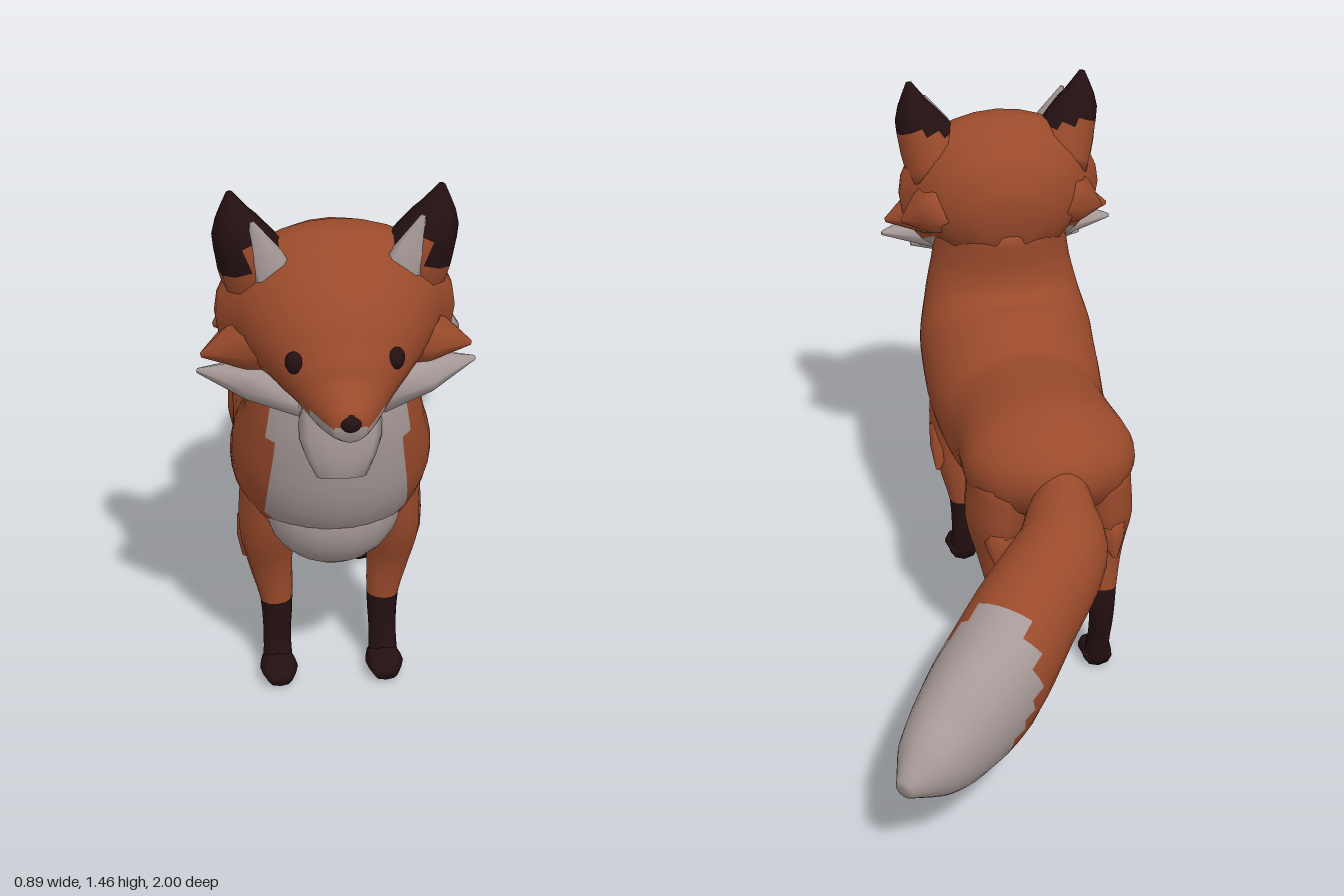
import * as THREE from 'three';

const material = (name, color) => Object.assign(new THREE.MeshStandardMaterial({ color }), { name });
const rust = material('rust fur', 0x9a4a2b);
const cream = material('pale fur', 0xa69997);
const dark = material('dark fur', 0x241012);
const FUR = [rust, cream, dark];
const MID = -0.11; // the body sits right of the curled tail

// Skin over sections [x, y, z, halfWidth, halfDepth]; paint picks a FUR index per face.
function loft(name, sections, { sides = 16, steps = 2, paint = () => 0 } = {}) {
  const path = new THREE.CatmullRomCurve3(sections.map(s => new THREE.Vector3(s[0], s[1], s[2])));
  const size = new THREE.CatmullRomCurve3(sections.map(s => new THREE.Vector3(s[3], s[4], 0)));
  const n = (sections.length - 1) * steps;
  const run = path.getPoint(1).sub(path.getPoint(0)).normalize();
  const ref = Math.abs(run.x) > 0.75 ? new THREE.Vector3(0, 0, 1) : new THREE.Vector3(1, 0, 0);
  const pts = [];
  for (let k = -1; k <= n + 1; k++) {
    const t = Math.min(Math.max(k / n, 0), 1);
    const p = path.getPoint(t), r = size.getPoint(t), tan = path.getTangent(t);
    if (k < 0 || k > n) r.set(0, 0, 0); // closed ends
    const side = ref.clone().addScaledVector(tan, -ref.dot(tan)).normalize();
    const up = new THREE.Vector3().crossVectors(tan, side);
    for (let j = 0; j < sides; j++) {
      const a = (j / sides) * Math.PI * 2;
      pts.push(p.clone().addScaledVector(side, r.x * Math.cos(a)).addScaledVector(up, r.y * Math.sin(a)));
    }
  }
  const faces = [[], [], []];
  for (let i = 0; i < n + 2; i++) {
    for (let j = 0; j < sides; j++) {
      const a = i * sides + j, b = i * sides + (j + 1) % sides, c = b + sides, d = a + sides;
      const mid = pts[a].clone().add(pts[b]).add(pts[c]).add(pts[d]).multiplyScalar(0.25);
      const list = faces[paint(mid)];
      if (i > 0) list.push(a, b, c);
      else list.push(b, c, d);
      if (i > 0 && i < n + 1) list.push(a, c, d);
    }
  }
  const geo = new THREE.BufferGeometry();
  geo.setAttribute('position', new THREE.Float32BufferAttribute(pts.flatMap(p => p.toArray()), 3));
  geo.setIndex(faces.flat());
  let start = 0;
  faces.forEach((f, m) => {
    if (f.length) geo.addGroup(start, f.length, m);
    start += f.length;
  });
  geo.computeVertexNormals();
  const mesh = new THREE.Mesh(geo, FUR);
  mesh.name = name;
  return mesh;
}

// Flattened pointed lock of fur
function tuft(name, root, tip, width, depth, colour = 0) {
  const mid = root.map((v, i) => v * 0.5 + tip[i] * 0.5);
  return loft(name, [[...root, width, depth], [...mid, width * 0.7, depth * 0.7], [...tip, 0.006, 0.006]],
    { sides: 8, steps: 1, paint: () => colour });
}

function ball(name, mat, position, scale) {
  const mesh = new THREE.Mesh(new THREE.SphereGeometry(1, 20, 14), mat);
  mesh.name = name;
  mesh.position.set(...position);
  mesh.scale.set(...scale);
  return mesh;
}

export function createModel() {
  const fox = new THREE.Group();
  fox.name = 'fox';
  const add = (...meshes) => fox.add(...meshes);

  // Rump, torso, chest and neck in one skin, with pale bib and belly
  add(loft('body', [
    [MID, 0.67, -0.31, 0.06, 0.05],
    [MID, 0.67, -0.24, 0.18, 0.115],
    [MID, 0.66, -0.12, 0.235, 0.17],
    [MID, 0.635, 0.05, 0.225, 0.185],
    [MID, 0.6, 0.22, 0.235, 0.215],
    [MID, 0.638, 0.39, 0.25, 0.24],
    [MID, 0.72, 0.505, 0.25, 0.235],
    [MID, 0.83, 0.57, 0.225, 0.19],
    [MID, 0.94, 0.588, 0.2, 0.17],
    [MID, 1.08, 0.58, 0.18, 0.165],
  ], {
    sides: 40,
    steps: 4,
    paint: p => {
      const off = Math.abs(p.x - MID);
      const bib = p.z > 0.6 && off < 0.165;
      const belly = p.y < 0.455 && p.z > 0.03;
      return bib || belly ? 1 : 0;
    },
  }));
  add(ball('chestFur', cream, [MID, 0.56, 0.525], [0.175, 0.165, 0.155]));

  // Head, with a brow stepping down to the muzzle
  add(loft('head', [
    [MID, 1.11, 0.41, 0.08, 0.08],
    [MID, 1.12, 0.47, 0.19, 0.165],
    [MID, 1.14, 0.57, 0.25, 0.2],
    [MID, 1.135, 0.66, 0.25, 0.2],
    [MID, 1.1, 0.75, 0.205, 0.17],
    [MID, 1.06, 0.82, 0.15, 0.125],
    [MID, 1.025, 0.88, 0.1, 0.09],
    [MID, 1.01, 0.94, 0.065, 0.062],
    [MID, 1.005, 0.985, 0.038, 0.035],
  ], { sides: 28, steps: 3, paint: p => (p.y < 1.01 && p.z > 0.58 ? 1 : 0) }));
  add(ball('nose', dark, [MID, 1.02, 0.975], [0.027, 0.025, 0.024]));

  // Tail with a pale tip and a narrow dark streak on its left side
  add(loft('tail', [
    [-0.12, 0.66, -0.24, 0.06, 0.08],
    [-0.1, 0.61, -0.33, 0.095, 0.11],
    [-0.075, 0.56, -0.43, 0.125, 0.135],
    [0.05, 0.465, -0.57, 0.14, 0.155],
    [0.18, 0.365, -0.72, 0.145, 0.185],
    [0.28, 0.325, -0.83, 0.12, 0.155],
    [0.36, 0.31, -0.92, 0.085, 0.1],
    [0.425, 0.295, -0.985, 0.025, 0.025],
  ], {
    sides: 28,
    steps: 4,
    paint: p => {
      if (Math.abs(p.y - 0.375) < 0.028 && p.z > -0.71 && p.z < -0.58 && p.x > 0.16) return 2;
      return p.x * 0.6 - p.z * 0.8 > 0.71 - (p.y - 0.37) * 0.45 ? 1 : 0;
    },
  }));

  for (const s of [1, -1]) {
    const at = off => MID + s * off;

    // Front leg: rust shoulder, dark shin and paw
    add(loft('frontLeg', [
      [at(0.15), 0.6, 0.46, 0.08, 0.11],
      [at(0.165), 0.46, 0.46, 0.07, 0.08],
      [at(0.155), 0.34, 0.44, 0.058, 0.052],
      [at(0.14), 0.22, 0.435, 0.042, 0.038],
      [at(0.14), 0.1, 0.44, 0.036, 0.034],
      [at(0.14), 0.02, 0.46, 0.04, 0.035],
    ], { sides: 12, steps: 3, paint: p => (p.y < 0.235 ? 2 : 0) }));
    add(loft('frontPaw', [
      [at(0.14), 0.035, 0.43, 0.04, 0.033],
      [at(0.14), 0.036, 0.49, 0.05, 0.035],
      [at(0.14), 0.022, 0.54, 0.03, 0.018],
    ], { sides: 8, paint: () => 2 }));

    // Hind leg: broad thigh, hock swept back
    add(loft('hindLeg', [
      [at(0.13), 0.66, -0.11, 0.09, 0.15],
      [at(0.145), 0.5, -0.11, 0.085, 0.145],
      [at(0.14), 0.39, -0.14, 0.062, 0.095],
      [at(0.135), 0.28, -0.19, 0.042, 0.048],
      [at(0.135), 0.2, -0.2, 0.035, 0.036],
      [at(0.135), 0.1, -0.175, 0.032, 0.03],
      [at(0.135), 0.02, -0.15, 0.038, 0.035],
    ], { sides: 12, steps: 3, paint: p => (p.y < 0.28 ? 2 : 0) }));
    add(loft('hindPaw', [
      [at(0.135), 0.032, -0.18, 0.038, 0.03],
      [at(0.135), 0.034, -0.12, 0.046, 0.033],
      [at(0.135), 0.02, -0.07, 0.03, 0.016],
    ], { sides: 8, paint: () => 2 }));

    // Dark tipped ear, dark along the outer front edge, pale inside
    add(loft('ear', [
      [at(0.165), 1.21, 0.61, 0.1, 0.08],
      [at(0.2), 1.29, 0.63, 0.085, 0.075],
      [at(0.233), 1.37, 0.64, 0.06, 0.062],
      [at(0.248), 1.46, 0.65, 0.008, 0.008],
    ], {
      sides: 12,
      steps: 3,
      paint: p => (p.y > 1.33 || (p.y > 1.25 && p.z > 0.63 && s * (p.x - MID) > 0.22) ? 2 : 0),
    }));
    add(tuft('innerEar', [at(0.135), 1.23, 0.7], [at(0.2), 1.4, 0.69], 0.055, 0.02, 1));

    // Eye
    add(ball('eye', dark, [at(0.112), 1.115, 0.85], [0.027, 0.03, 0.027]));

    // Cheek ruff, rust above and pale below
    add(tuft('cheekRuff', [at(0.13), 1.1, 0.64], [at(0.325), 1.045, 0.65], 0.14, 0.09));
    add(tuft('cheekRuff', [at(0.17), 1.13, 0.55], [at(0.29), 1.08, 0.56], 0.1, 0.09));
    add(tuft('paleCheek', [at(0.08), 0.985, 0.71], [at(0.335), 1.005, 0.65], 0.11, 0.068, 1));
    add(tuft('chinFur', [at(0.04), 0.96, 0.68], [at(0.25), 0.96, 0.66], 0.08, 0.045, 1));

    // Loose fur on elbow and thigh
    add(tuft('elbowTuft', [at(0.19), 0.47, 0.44], [at(0.22), 0.34, 0.41], 0.05, 0.03));
    add(tuft('thighTuft', [at(0.15), 0.5, -0.2], [at(0.16), 0.4, -0.24], 0.05, 0.05));
  }

  // Bib fur hanging below the chin
  add(loft('bibFur', [
    [MID, 0.97, 0.72, 0.1, 0.05],
    [MID, 0.86, 0.745, 0.1, 0.045],
    [MID, 0.76, 0.765, 0.06, 0.02],
  ], { sides: 10, paint: () => 1 }));
  return fox;
}
